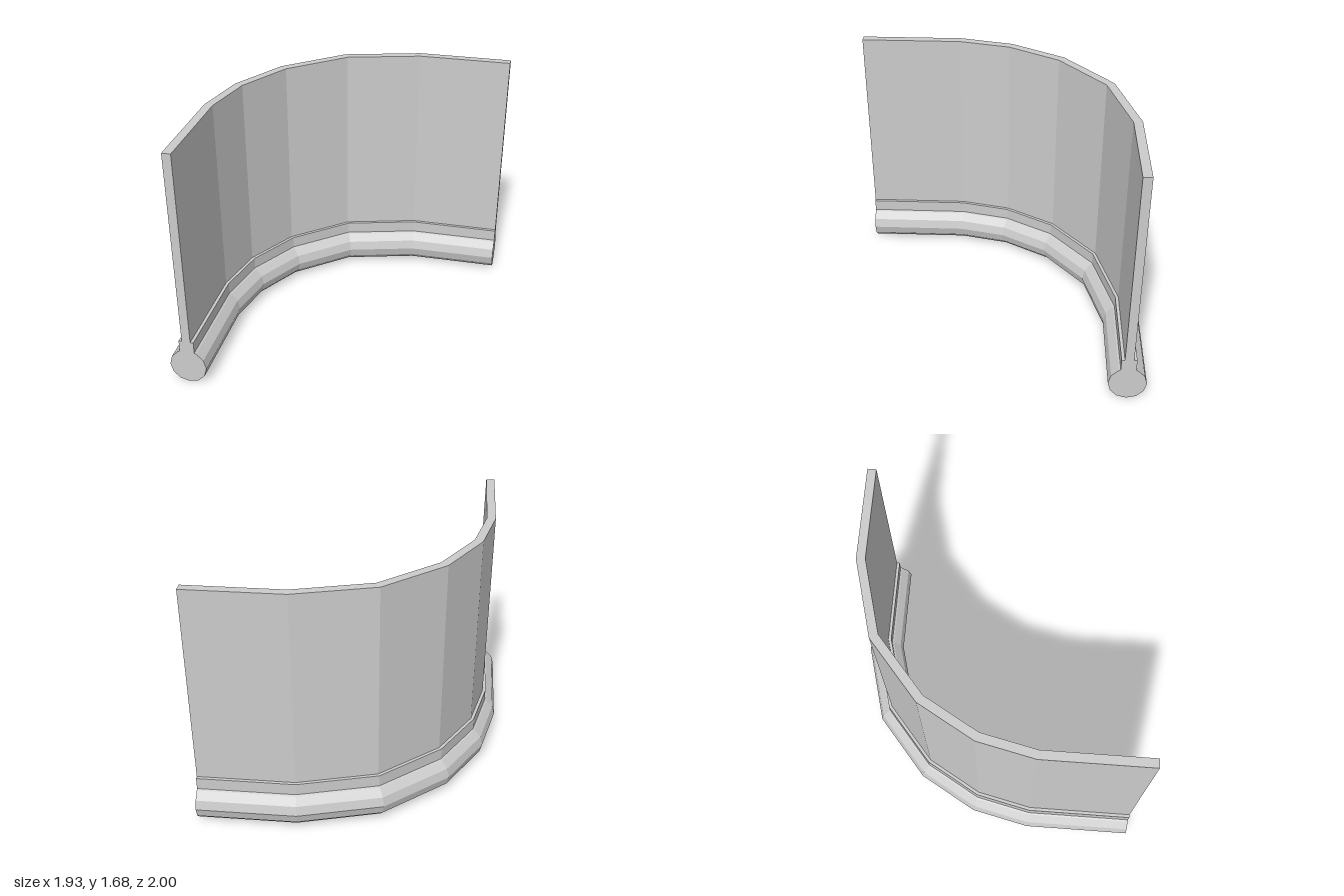
import * as THREE from 'three';

// Plan of the curved run as [x, z], along the centre line of the wall
const path = [
  [-0.841, 1], [-0.841, 0.3], [-0.76, -0.06], [-0.555, -0.415],
  [-0.182, -0.73], [0.325, -0.87], [0.963, -0.875],
].map(([x, z]) => new THREE.Vector2(x, z));

// Sideways direction at each path point, lengthened at the mitred joints
const sideways = path.map((p, i) => {
  const normal = (a, b) => {
    const d = b.clone().sub(a).normalize();
    return new THREE.Vector2(-d.y, d.x);
  };
  if (i === 0) return new THREE.Vector2(1, 0);
  if (i === path.length - 1) return new THREE.Vector2(0, 1);
  const n1 = normal(path[i - 1], p);
  const n2 = normal(p, path[i + 1]);
  const sum = n1.clone().add(n2);
  return sum.multiplyScalar(1 / (1 + n1.dot(n2)));
});

// Sweeps a counter-clockwise [offset, height] profile along the path.
// The edge from last to first point lies inside the model and is left open.
function sweep(name, profile, material) {
  const positions = [];
  const put = (i, j) => {
    const [u, v] = profile[j];
    positions.push(path[i].x + sideways[i].x * u, v, path[i].y + sideways[i].y * u);
  };
  for (let i = 0; i < path.length - 1; i++) {
    for (let j = 0; j < profile.length - 1; j++) {
      put(i, j); put(i + 1, j); put(i + 1, j + 1);
      put(i, j); put(i + 1, j + 1); put(i, j + 1);
    }
  }
  // End caps
  const outline = profile.map(([u, v]) => new THREE.Vector2(u, v));
  for (const [a, b, c] of THREE.ShapeUtils.triangulateShape(outline, [])) {
    put(0, a); put(0, b); put(0, c);
    const end = path.length - 1;
    put(end, a); put(end, c); put(end, b);
  }
  const geometry = new THREE.BufferGeometry();
  geometry.setAttribute('position', new THREE.Float32BufferAttribute(positions, 3));
  geometry.computeVertexNormals();
  const mesh = new THREE.Mesh(geometry, material);
  mesh.name = name;
  return mesh;
}

// Upright strip profile, open at the bottom
const strip = (half, bottom, top) => [[half, bottom], [half, top], [-half, top], [-half, bottom]];

export function createModel() {
  const group = new THREE.Group();
  group.name = 'curvedWall';
  const material = new THREE.MeshStandardMaterial({ color: 0xcccccc, flatShading: true });

  // Twelve-sided round rail, open where the collar sits
  const radius = 0.125;
  const rail = [[-0.05, 0.24]];
  for (let k = 4; k <= 14; k++) {
    const a = (k * Math.PI) / 6;
    rail.push([radius * Math.cos(a), radius + radius * Math.sin(a)]);
  }
  rail.push([0.05, 0.24]);

  group.add(sweep('baseRail', rail, material));
  group.add(sweep('collar', strip(0.05, 0.24, 0.322), material));
  group.add(sweep('wallPanel', strip(0.029, 0.322, 1.68), material));
  return group;
}
